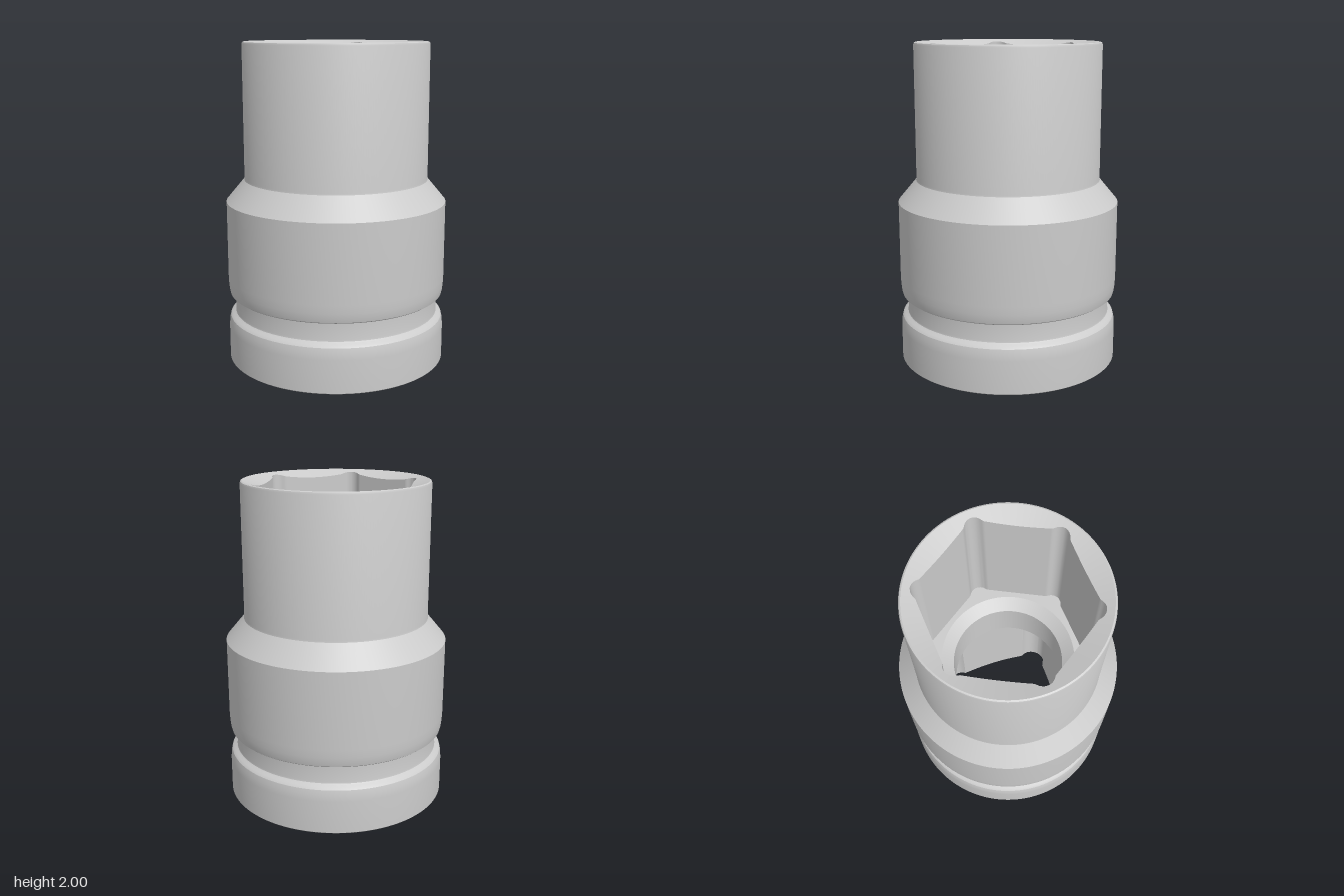
import * as THREE from 'three';
import { toCreasedNormals } from 'three/addons/utils/BufferGeometryUtils.js';

const SEG = 360;
const metal = new THREE.MeshStandardMaterial({ color: 0xcccccc });

// Radius of a polygonal bore with rounded relief lobes at its corners
function boreRadius(sides, offset, apothem, lobeCentre, lobeRadius) {
  const sector = (2 * Math.PI) / sides;
  return (phi) => {
    const turn = (phi - offset) / sector;
    const t = Math.abs(turn - Math.round(turn)) * sector;
    const flat = apothem / Math.cos(sector / 2 - t);
    const d = lobeRadius ** 2 - (lobeCentre * Math.sin(t)) ** 2;
    const lobe = d > 0 ? lobeCentre * Math.cos(t) + Math.sqrt(d) : 0;
    // soft maximum blends the flat into the lobe
    const k = 0.008;
    const h = Math.max(k - Math.abs(flat - lobe), 0) / k;
    return Math.max(flat, lobe) + (h * h * k) / 4;
  };
}

// Loft of rings [radius, height]; either may be a function (of angle, of radius)
function loft(name, rings, crease = 0.45) {
  const pos = [], index = [], n = rings.length;
  for (let i = 0; i < SEG; i++) {
    const phi = (i / SEG) * Math.PI * 2;
    for (const [radius, height] of rings) {
      const r = typeof radius === 'function' ? radius(phi) : radius;
      const y = typeof height === 'function' ? height(r) : height;
      pos.push(r * Math.sin(phi), y, r * Math.cos(phi));
    }
    for (let j = 0; j < n - 1; j++) {
      const a = i * n + j, b = ((i + 1) % SEG) * n + j;
      index.push(a, b, a + 1, b + 1, a + 1, b);
    }
  }
  const geo = new THREE.BufferGeometry();
  geo.setAttribute('position', new THREE.Float32BufferAttribute(pos, 3));
  geo.setIndex(index);
  const mesh = new THREE.Mesh(toCreasedNormals(geo, crease), metal);
  mesh.name = name;
  return mesh;
}

export function createModel() {
  const group = new THREE.Group();
  group.name = 'socket';

  const hex = boreRadius(6, THREE.MathUtils.degToRad(35), 0.447, 0.46, 0.06);
  const square = boreRadius(4, Math.PI / 4, 0.345, 0.405, 0.085);
  const topCone = (r) => 2 - (0.562 - r) * 0.35;
  const bottomCone = (r) => (0.525 - r) * 0.6;
  const floorY = 1.1, neckTop = 1.04, neckBottom = 0.76;

  group.add(
    // Outer skin: base collar, retaining groove, body, shoulder, nose
    loft('outerBody', [
      [0.685, 0], [0.69, 0.005], [0.69, 0.21], [0.687, 0.25], [0.68, 0.28], [0.668, 0.294],
      [0.654, 0.301], [0.647, 0.308], [0.645, 0.318], [0.645, 0.418], [0.65, 0.424],
      [0.67, 0.427], [0.679, 0.434], [0.684, 0.455], [0.688, 0.49], [0.69, 0.54],
      [0.69, 1.02], [0.577, 1.155], [0.575, 1.165], [0.575, 1.985], [0.571, 1.996], [0.562, 2],
    ]),
    // Hexagonal end
    loft('topChamfer', [[0.562, 2], [hex, topCone]]),
    loft('hexBore', [[hex, topCone], [hex, floorY]]),
    loft('hexFloor', [[hex, floorY], [0.415, floorY]]),
    // Round passage between the two bores
    loft('neck', [[0.415, floorY], [0.342, neckTop], [0.342, neckBottom]]),
    // Square drive end
    loft('driveCeiling', [[0.342, neckBottom], [square, neckBottom]]),
    loft('driveBore', [[square, neckBottom], [square, bottomCone]]),
    loft('bottomChamfer', [[square, bottomCone], [0.525, 0]]),
    loft('bottomFace', [[0.525, 0], [0.685, 0]]),
  );
  return group;
}
